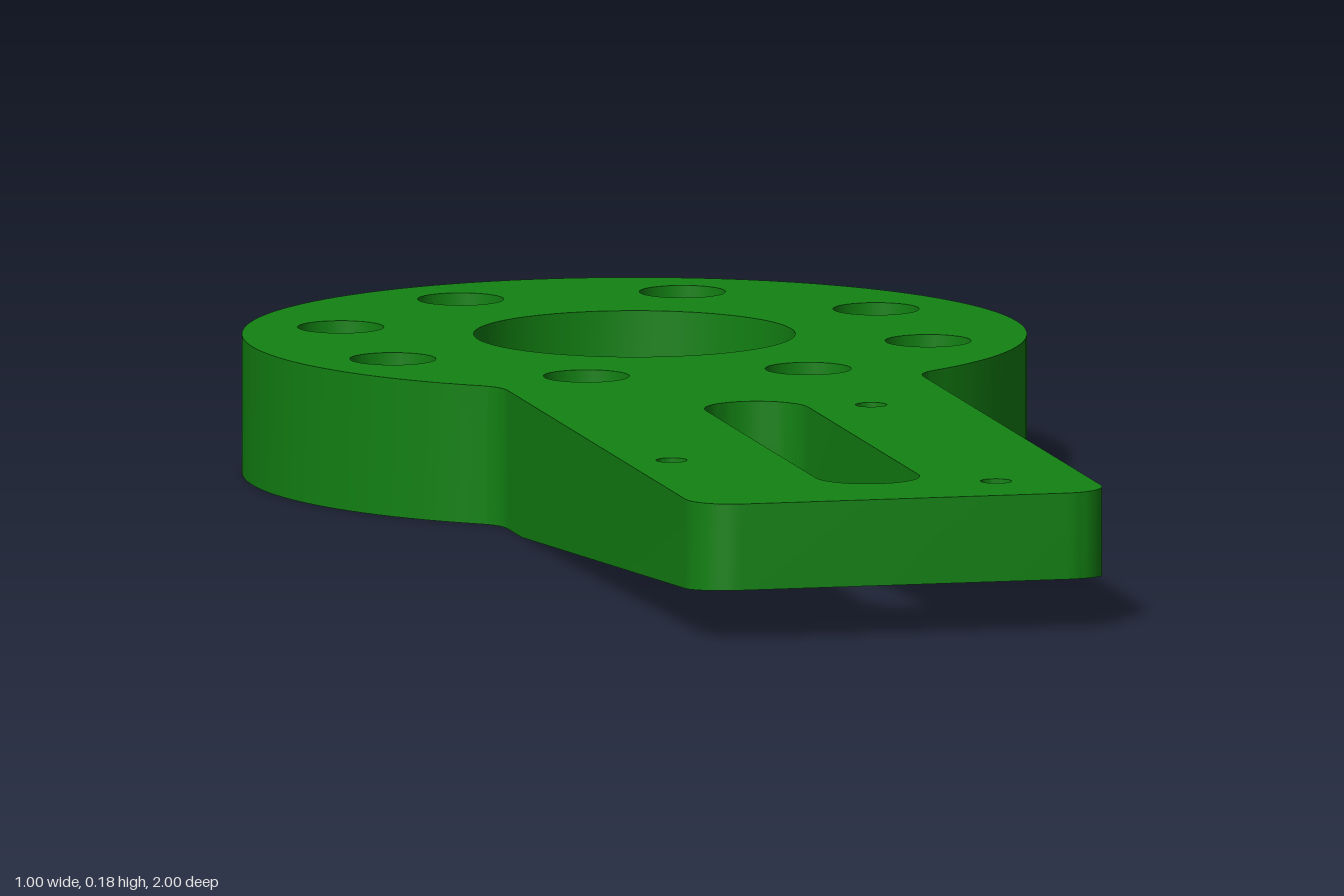
import * as THREE from 'three';
import { toCreasedNormals } from 'three/addons/utils/BufferGeometryUtils.js';

const TOP = 0.178, RECESS = 0.07, BOLT_SEAT = 0.113, SCREW_SEAT = 0.077;
const RING_Z = -0.5, ARM = 0.272, BREAK_Z = 0.03, SLOPE = 0.067 / (1 - BREAK_Z);
const underside = (z) => Math.max(0, z - BREAK_Z) * SLOPE;

const material = new THREE.MeshStandardMaterial({ color: 0x138213 });

// Plan points are Vector2(x, z), counter-clockwise
function arc(x, z, r, from, to, n) {
  return Array.from({ length: n + 1 }, (_, i) => {
    const a = from + ((to - from) * i) / n;
    return new THREE.Vector2(x + r * Math.cos(a), z + r * Math.sin(a));
  });
}
const circle = (x, z, r, n = 32) => arc(x, z, r, 0, Math.PI * 2, n).slice(0, -1);

// Flat or sloped face with holes, facing up or down
function face(name, outline, holes, height, up) {
  const shape = new THREE.Shape(outline);
  shape.holes = holes.map((h) => new THREE.Path(h));
  const g = new THREE.ShapeGeometry(shape);
  const p = g.attributes.position;
  for (let i = 0; i < p.count; i++) {
    const z = p.getY(i);
    p.setXYZ(i, p.getX(i), height(z), z);
  }
  if (up) g.setIndex(Array.from(g.index.array).reverse());
  g.computeVertexNormals();
  return named(name, g);
}

// Upright wall along a closed outline; inward for the side of a hole
function wall(name, outline, bottom, top, inward) {
  const pts = inward ? [...outline].reverse() : outline;
  const n = pts.length, pos = [], index = [];
  pts.forEach((p) => pos.push(p.x, bottom(p.y), p.y, p.x, top, p.y));
  for (let i = 0; i < n; i++) {
    const a = 2 * i, b = 2 * ((i + 1) % n);
    index.push(a, a + 1, b, b, a + 1, b + 1);
  }
  const g = new THREE.BufferGeometry();
  g.setAttribute('position', new THREE.Float32BufferAttribute(pos, 3));
  g.setIndex(index);
  return named(name, toCreasedNormals(g, 0.6));
}

function named(name, geometry) {
  const mesh = new THREE.Mesh(geometry, material);
  mesh.name = name;
  return mesh;
}

export function createModel() {
  const group = new THREE.Group();
  group.name = 'mountingBracket';
  const flat = (y) => () => y;
  const PI = Math.PI;

  // Outline: ring, blending fillets and arm with rounded end
  const f = 0.06, fx = ARM + f, dz = Math.sqrt((0.5 + f) ** 2 - fx ** 2);
  const fz = RING_Z + dz, t = Math.atan2(dz, fx), corner = 0.06;
  const mirror = (pts) => pts.map((p) => new THREE.Vector2(-p.x, p.y)).reverse();
  const ringArc = arc(0, RING_Z, 0.5, PI - t, 2 * PI + t, 96);
  const fillet = arc(fx, fz, f, PI + t, PI, 8).slice(1);
  const breakPoint = [new THREE.Vector2(ARM, BREAK_Z)];
  const end = arc(ARM - corner, 1 - corner, corner, 0, PI / 2, 10);
  const ringPart = [...ringArc, ...fillet, ...breakPoint, ...mirror(breakPoint), ...mirror(fillet)];
  const armPart = [...breakPoint, ...end, ...mirror(end), ...mirror(breakPoint)];
  const outline = [...ringArc, ...fillet, ...armPart, ...mirror(fillet)];

  // Openings
  const bore = circle(0, RING_Z, 0.205, 64);
  const recess = circle(0, RING_Z, 0.42, 96);
  const slot = [...arc(0, 0.182, 0.067, PI, 2 * PI, 20), ...arc(0, 0.796, 0.067, 0, PI, 20)];
  const bolts = Array.from({ length: 8 }, (_, i) => {
    const a = ((i + 0.5) * PI) / 4;
    return [0.379 * Math.cos(a), RING_Z + 0.379 * Math.sin(a)];
  });
  const screws = [[0.15, 0.18], [-0.21, 0.6], [0.15, 0.875]];
  const holes = (list, r) => list.map(([x, z]) => circle(x, z, r));
  const boltHoles = holes(bolts, 0.031), boltBores = holes(bolts, 0.055);
  const screwHoles = holes(screws, 0.02), screwBores = holes(screws, 0.04);

  // Main faces and sides
  group.add(
    face('topFace', outline, [bore, slot, ...boltBores, ...screwHoles], flat(TOP), true),
    face('ringUnderside', ringPart, [recess], flat(0), false),
    face('armUnderside', armPart, [slot, ...screwBores], underside, false),
    face('recessFloor', recess, [bore, ...boltHoles], flat(RECESS), false),
    wall('outerSide', outline, underside, TOP, false),
    wall('recessSide', recess, flat(0), RECESS, true),
    wall('centreBore', bore, flat(RECESS), TOP, true),
    wall('slotSide', slot, underside, TOP, true)
  );

  // Counterbored bolt holes around the ring, opening upwards
  bolts.forEach((_, i) => group.add(
    wall('boltHole', boltHoles[i], flat(RECESS), BOLT_SEAT, true),
    face('boltSeat', boltBores[i], [boltHoles[i]], flat(BOLT_SEAT), true),
    wall('boltCounterbore', boltBores[i], flat(BOLT_SEAT), TOP, true)
  ));

  // Counterbored screw holes in the arm, opening downwards
  screws.forEach((_, i) => group.add(
    wall('screwCounterbore', screwBores[i], underside, SCREW_SEAT, true),
    face('screwSeat', screwBores[i], [screwHoles[i]], flat(SCREW_SEAT), false),
    wall('screwHole', screwHoles[i], flat(SCREW_SEAT), TOP, true)
  ));
  return group;
}
